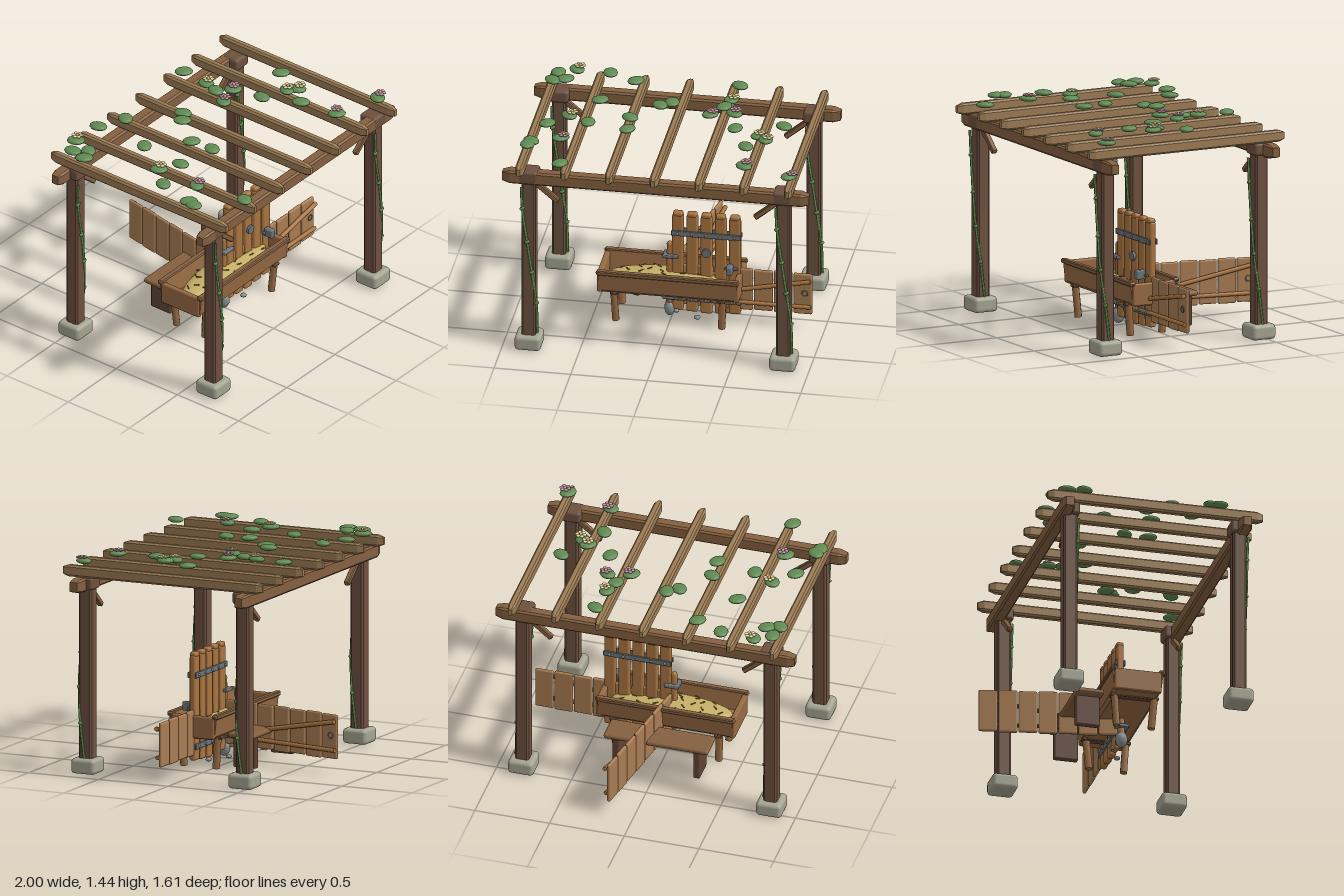
import * as THREE from 'three';
import { RoundedBoxGeometry } from 'three/addons/geometries/RoundedBoxGeometry.js';

const mat = (color) => new THREE.MeshStandardMaterial({ color });
const M = {
  post: mat(0x6e5140), beam: mat(0x85603f), rafter: mat(0x9c7c54), plank: mat(0xa97d52),
  gate: mat(0xa97440), trough: mat(0x976a43), dark: mat(0x5f4435), metal: mat(0x6b757a),
  stone: mat(0xa5a592), rock: mat(0x858d8f), leaf: mat(0x5f8a52), vine: mat(0x5f9450),
  grain: mat(0xc4ae66), husk: mat(0x6e5528), cream: mat(0xe6d9a8), pink: mat(0xc08fb0), heart: mat(0xd9b84a),
};

function add(parent, name, geo, material, x = 0, y = 0, z = 0) {
  const m = new THREE.Mesh(geo, material);
  m.name = name;
  m.position.set(x, y, z);
  parent.add(m);
  return m;
}
function group(parent, name) {
  const g = new THREE.Group();
  g.name = name;
  parent.add(g);
  return g;
}
const rbox = (w, h, d, r = 0.01) => new RoundedBoxGeometry(w, h, d, 2, Math.min(r, w / 2.1, h / 2.1, d / 2.1));

// Chamfered timber along x with tapered ends
function timber(len, h, d, taper = 0.02, cut = 0.012) {
  const a = d / 2, b = h / 2, c = cut;
  const s = new THREE.Shape([[-a + c, -b], [a - c, -b], [a, -b + c], [a, b - c], [a - c, b], [-a + c, b], [-a, b - c], [-a, -b + c]]
    .map(([x, y]) => new THREE.Vector2(x, y)));
  const g = new THREE.ExtrudeGeometry(s, {
    depth: len - 2 * taper, bevelThickness: taper, bevelSize: 0.014, bevelOffset: -0.014, bevelSegments: 1,
  });
  return g.translate(0, 0, -len / 2 + taper).rotateY(Math.PI / 2);
}

// Round stick between two points
function stick(parent, name, a, b, r, material) {
  const p = new THREE.Vector3(...a), q = new THREE.Vector3(...b), dir = q.clone().sub(p);
  const m = add(parent, name, new THREE.CylinderGeometry(r, r, dir.length(), 8), material);
  m.position.copy(p).add(q).multiplyScalar(0.5);
  m.quaternion.setFromUnitVectors(new THREE.Vector3(0, 1, 0), dir.normalize());
  return m;
}

function buildPergola(root) {
  const g = group(root, 'pergola');
  for (const [pz, bz] of [[0.66, 0.68], [-0.465, -0.5]]) {
    add(g, 'beam', timber(2, 0.09, 0.08, 0.05), M.beam, 0, 1.24, bz);
    for (const s of [-1, 1]) {
      const x = s * 0.83;
      add(g, 'footing', rbox(0.17, 0.1, 0.17, 0.025), M.stone, x, 0.05, pz);
      add(g, 'post', timber(1.15, 0.092, 0.092, 0.01).rotateZ(Math.PI / 2), M.post, x, 0.665, pz);
      add(g, 'postCap', rbox(0.13, 0.085, 0.125, 0.02), M.post, x, 1.247, pz);
      const brace = add(g, 'brace', timber(0.2, 0.035, 0.035, 0.008, 0.005), M.beam, s * 0.715, 1.13, pz);
      brace.rotation.z = s * 0.7;
      // Climbing vine with small leaves
      const pts = [[0.052, 0.1, 0], [0.052, 0.33, 0.028], [0.025, 0.56, 0.05], [-0.005, 0.78, 0.053], [-0.038, 1.02, 0.05], [-0.044, 1.18, 0.055]]
        .map(([a, b, c]) => new THREE.Vector3(x + a, b, pz + c));
      add(g, 'vine', new THREE.TubeGeometry(new THREE.CatmullRomCurve3(pts), 20, 0.008, 6), M.vine);
      for (const p of pts.slice(1, 5)) {
        const l = add(g, 'vineLeaf', new THREE.SphereGeometry(0.02, 8, 6), M.vine, p.x, p.y, p.z);
        l.scale.set(1, 0.6, 0.7);
        l.rotation.z = 0.5;
      }
    }
  }
  for (let i = -3; i <= 3; i++)
    add(g, 'rafter', timber(1.43, 0.075, 0.052, 0.04).rotateY(Math.PI / 2), M.rafter, i * 0.292, 1.323, 0.095);
}

// Leaves and blossoms on the roof, as [x, z]
function buildFoliage(root) {
  const g = group(root, 'foliage');
  const leaves = [[-0.84, -0.48], [-0.86, -0.37], [-0.78, -0.4], [-0.73, -0.54], [-0.51, -0.53], [-0.33, -0.45], [0.34, -0.5],
    [0.32, -0.3], [0.29, -0.2], [0.37, -0.12], [0.22, -0.08], [-0.05, -0.2], [-0.12, -0.15], [-0.51, -0.155], [-0.67, 0.09],
    [-0.535, 0.16], [-0.79, 0.22], [-0.28, 0.05], [-0.27, 0.21], [0.41, 0.08], [0.715, 0], [0.58, 0.155], [0.63, 0.2],
    [0.52, 0.315], [-0.67, 0.4], [-0.85, 0.475], [-0.865, 0.525], [-0.615, 0.745], [0.555, 0.58], [0.865, 0.67]];
  leaves.forEach(([x, z], i) => {
    const l = add(g, 'leaf', new THREE.SphereGeometry(1, 12, 8), M.leaf, x, 1.392, z);
    l.scale.set(0.048, 0.02, 0.06);
    l.rotation.y = Math.sin(i * 2.3) * 0.9;
  });
  const flowers = [[-0.71, -0.545], [0.335, -0.295], [-0.65, 0.09], [0.583, 0.16], [0.645, 0.21],
    [0.235, -0.08], [0.38, -0.123], [-0.65, 0.405], [0.57, 0.567], [0.887, 0.674]];
  flowers.forEach(([x, z], i) => {
    const f = group(g, 'blossom');
    f.position.set(x, 1.42, z);
    add(f, 'blossomHeart', new THREE.SphereGeometry(0.011, 8, 6), M.heart, 0, 0.003, 0);
    for (let k = 0; k < 6; k++) {
      const a = k * Math.PI / 3;
      add(f, 'petal', new THREE.SphereGeometry(0.014, 8, 6), i < 5 ? M.cream : M.pink, Math.cos(a) * 0.025, 0, Math.sin(a) * 0.025)
        .scale.y = 0.5;
    }
  });
}

function buildTrough(root) {
  const g = group(root, 'trough');
  g.position.z = 0.095;
  // Hollow tapered channel, closed by end boards
  const u = new THREE.Shape([[-0.17, 0.355], [-0.155, 0.225], [-0.135, 0.205], [0.135, 0.205], [0.155, 0.225], [0.17, 0.355],
    [0.14, 0.355], [0.125, 0.235], [-0.125, 0.235], [-0.14, 0.355]].map(([x, y]) => new THREE.Vector2(x, y)));
  add(g, 'troughBody', new THREE.ExtrudeGeometry(u, { depth: 0.9, bevelEnabled: false }).translate(0, 0, -0.45).rotateY(Math.PI / 2), M.trough);
  for (const s of [-1, 1]) {
    add(g, 'endBoard', rbox(0.035, 0.145, 0.31), M.trough, s * 0.445, 0.283, 0);
    add(g, 'rim', timber(0.935, 0.03, 0.04, 0.01, 0.006), M.beam, 0, 0.355, s * 0.16);
    add(g, 'legBar', rbox(0.05, 0.022, 0.32, 0.006), M.dark, s * 0.35, 0.208, 0);
    for (const t of [-1, 1]) stick(g, 'troughLeg', [s * 0.355, 0.21, t * 0.132], [s * 0.345, 0, t * 0.115], 0.024, M.trough);
  }
  add(g, 'grain', new THREE.SphereGeometry(1, 28, 14), M.grain, 0, 0.28, 0).scale.set(0.405, 0.05, 0.124);
  // Husks scattered over the heap
  for (let i = 0; i < 30; i++) {
    const r = Math.sqrt((i + 0.5) / 34), a = i * 2.4, x = r * Math.cos(a), z = r * Math.sin(a);
    const h = add(g, 'husk', new THREE.BoxGeometry(0.036, 0.007, 0.008), M.husk, x * 0.4, 0.281 + 0.05 * Math.sqrt(1 - r * r), z * 0.122);
    h.rotation.y = Math.sin(i * 5.1) * 0.9;
  }
}

function buildBench(root) {
  const g = group(root, 'bench');
  add(g, 'benchSeat', rbox(0.7, 0.035, 0.19, 0.016), M.beam, 0, 0.227, -0.195);
  for (const s of [-1, 1]) add(g, 'benchSupport', rbox(0.045, 0.205, 0.16, 0.01), M.dark, s * 0.27, 0.11, -0.195);
}

// Low fence panel running along +x from its hinge, rails on +z
function buildPanel(root, angle) {
  const g = group(root, 'fencePanel');
  g.position.set(0, 0, 0.1);
  g.rotation.y = angle;
  for (let i = 0; i < 7; i++)
    add(g, 'panelPlank', rbox(0.122, 0.29 + 0.008 * (i % 2), 0.024, 0.011), M.plank, 0.082 + i * 0.129, 0.241, 0);
  stick(g, 'lowerRail', [0.02, 0.155, 0.022], [0.91, 0.155, 0.022], 0.014, M.gate);
  stick(g, 'diagonalRail', [0.04, 0.165, 0.03], [0.91, 0.345, 0.03], 0.015, M.gate);
  add(g, 'pullRing', new THREE.TorusGeometry(0.019, 0.004, 6, 16), M.metal, 0.87, 0.25, 0.016);
}

function buildGate(root) {
  const g = group(root, 'gate');
  g.position.z = 0.1;
  for (let i = 0; i < 5; i++) {
    const x = 0.042 + i * 0.093, low = 0.045 + 0.006 * Math.abs(i - 2);
    add(g, 'gatePlank', rbox(0.076, 0.745 - low, 0.044, 0.014), M.gate, x, (0.745 + low) / 2, 0);
    add(g, 'plankCap', rbox(0.064, 0.034, 0.048, 0.014), M.gate, x, 0.75, 0);
    for (const y of [0.15, 0.617])
      for (const s of [-1, 1]) add(g, 'bolt', new THREE.SphereGeometry(0.009, 8, 6), M.rock, x, y, s * 0.033);
  }
  for (const y of [0.15, 0.617])
    for (const s of [-1, 1]) add(g, 'strap', rbox(0.455, 0.038, 0.012, 0.005), M.metal, 0.228, y, s * 0.026);
  add(g, 'plate', new THREE.CylinderGeometry(0.03, 0.03, 0.02, 20).rotateX(Math.PI / 2), M.metal, 0.23, 0.49, 0.028);
  // Lock and its bracket
  add(g, 'lock', rbox(0.04, 0.06, 0.065, 0.008), M.metal, 0.388, 0.4, 0.062);
  add(g, 'latch', rbox(0.085, 0.016, 0.02, 0.005), M.metal, 0.395, 0.395, 0.035);
  // Hinge pole on a rock
  add(g, 'hingePole', new THREE.CylinderGeometry(0.02, 0.024, 0.44, 10), M.gate, -0.012, 0.3, 0);
  add(g, 'poleTop', new THREE.SphereGeometry(0.021, 10, 8), M.gate, -0.012, 0.522, 0);
  for (const y of [0.15, 0.447]) add(g, 'hingeBand', rbox(0.1, 0.022, 0.09, 0.006), M.metal, -0.004, y, 0);
  add(g, 'baseRock', new THREE.SphereGeometry(1, 12, 8), M.rock, -0.012, 0.063, 0).scale.set(0.036, 0.055, 0.042);
  for (const [x, z, r] of [[0.17, 0.02, 0.022], [0.02, -0.05, 0.02]])
    add(g, 'pebble', new THREE.SphereGeometry(r, 8, 6), M.rock, x, r * 0.7, z).scale.y = 0.6;
}

export function createModel() {
  const root = new THREE.Group();
  root.name = 'pergolaYard';
  buildPergola(root);
  buildFoliage(root);
  buildTrough(root);
  buildBench(root);
  buildPanel(root, 0);
  buildPanel(root, 1.39);
  buildGate(root);
  return root;
}
